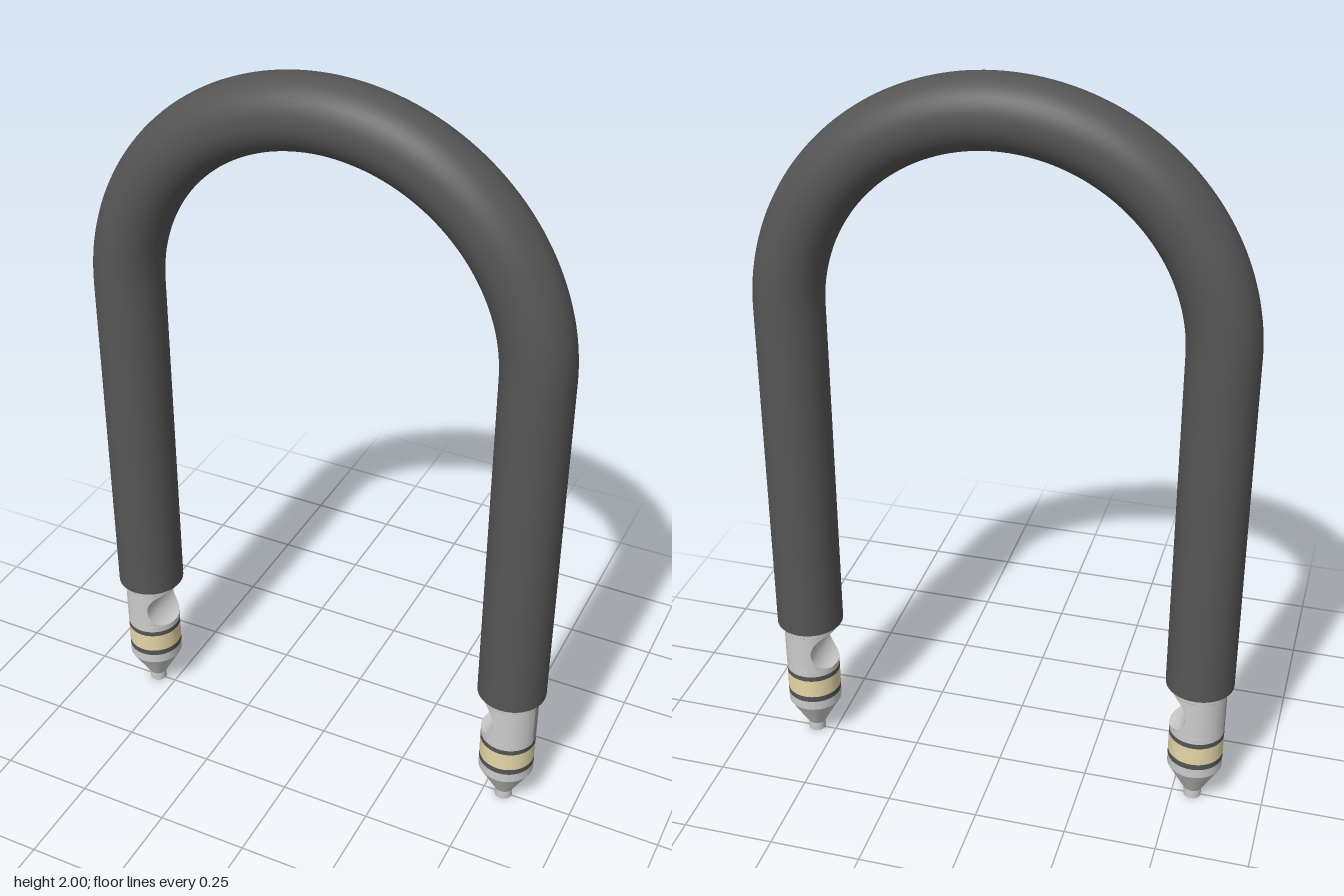
import * as THREE from 'three';
import { ParametricGeometry } from 'three/addons/geometries/ParametricGeometry.js';
import { mergeGeometries } from 'three/addons/utils/BufferGeometryUtils.js';

const LEG_X = 0.557, LEG_R = 0.092, LEG_BOTTOM = 0.385, ARC_Y = 1.35;
const PIN_R = 0.075, PIN_BOTTOM = 0.23;
const NOTCH = { x: -0.081, y: 0.305, r: 0.058 };
const SLOT_W = 0.025, SLOT_D = 0.02;

const metal = new THREE.MeshStandardMaterial({ color: 0xcccccc });
const rubber = new THREE.MeshStandardMaterial({ color: 0x555555 });
const cream = new THREE.MeshStandardMaterial({ color: 0xe6d7a8 });
const pocket = new THREE.MeshStandardMaterial({ color: 0x666666, side: THREE.BackSide });

function add(parent, name, geometry, material) {
  const mesh = new THREE.Mesh(geometry, material);
  mesh.name = name;
  parent.add(mesh);
  return mesh;
}

// Upright cylinder or cone between two heights
function turned(y0, y1, r0, r1 = r0, open = false) {
  return new THREE.CylinderGeometry(r1, r0, y1 - y0, 48, 1, open).translate(0, (y0 + y1) / 2, 0);
}

// Pin wall: round, cut by a sideways round notch on -x and open at the slot on +x
function pinGeometry() {
  const slotAngle = Math.asin(SLOT_W / 2 / PIN_R);
  const limit = Math.acos((-PIN_R - NOTCH.x) / NOTCH.r);
  const cut = (v) => {
    const t = limit * (2 * v - 1);
    const x = NOTCH.x + NOTCH.r * Math.cos(t);
    return { x, y: NOTCH.y + NOTCH.r * Math.sin(t), a: Math.acos(Math.min(1, -x / PIN_R)) };
  };
  const plain = (y0, y1) => (v) => ({ y: y0 + (y1 - y0) * v, a: 0 });
  const reach = NOTCH.r * Math.sin(limit);
  const zones = [
    [plain(PIN_BOTTOM, NOTCH.y - reach), 1],
    [cut, 32],
    [plain(NOTCH.y + reach, LEG_BOTTOM + 0.01), 1],
  ];
  const parts = [];
  for (const [row, rows] of zones) {
    for (const side of [1, -1]) {
      parts.push(new ParametricGeometry((u, v, p) => {
        const { y, a } = row(v);
        const t = a + (Math.PI - slotAngle - a) * (side > 0 ? u : 1 - u);
        p.set(-PIN_R * Math.cos(t), y, side * PIN_R * Math.sin(t));
      }, 28, rows));
    }
  }
  // Curved floor of the notch
  parts.push(new ParametricGeometry((u, v, p) => {
    const { x, y, a } = cut(v);
    p.set(x, y, PIN_R * Math.sin(a) * (2 * u - 1));
  }, 4, 32));
  return mergeGeometries(parts);
}

function createFoot() {
  const foot = new THREE.Group();
  add(foot, 'notchedPin', pinGeometry(), metal);

  // Recessed slot seen from inside its pocket
  const height = LEG_BOTTOM - PIN_BOTTOM;
  const rim = Math.sqrt(PIN_R ** 2 - (SLOT_W / 2) ** 2);
  add(foot, 'outerSlot', new THREE.BoxGeometry(SLOT_D, height, SLOT_W)
    .translate(rim - SLOT_D / 2, PIN_BOTTOM + height / 2, 0), pocket);

  // Contact bands
  add(foot, 'upperRing', turned(0.215, 0.23, PIN_R), rubber);
  add(foot, 'contactBand', turned(0.16, 0.215, PIN_R), cream);
  add(foot, 'lowerRing', turned(0.143, 0.16, PIN_R), rubber);

  // Collar, cone and nib
  add(foot, 'collar', turned(0.115, 0.143, PIN_R, PIN_R, true), metal);
  add(foot, 'cone', turned(0.028, 0.115, 0.026, PIN_R), metal);
  add(foot, 'nib', turned(0, 0.028, 0.024), metal);
  return foot;
}

export function createModel() {
  const model = new THREE.Group();
  model.name = 'shackle';

  // Curved bow and straight legs
  add(model, 'bow', new THREE.TorusGeometry(LEG_X, LEG_R, 48, 96, Math.PI).translate(0, ARC_Y, 0), rubber);
  for (const [name, s] of [['left', 1], ['right', -1]]) {
    const leg = add(model, name + 'Leg', turned(LEG_BOTTOM, ARC_Y, LEG_R), rubber);
    leg.position.x = s * LEG_X;

    // Feet face each other with their notches
    const foot = createFoot();
    foot.name = name + 'Foot';
    foot.position.x = s * LEG_X;
    foot.rotation.y = s > 0 ? 0 : Math.PI;
    model.add(foot);
  }
  return model;
}
